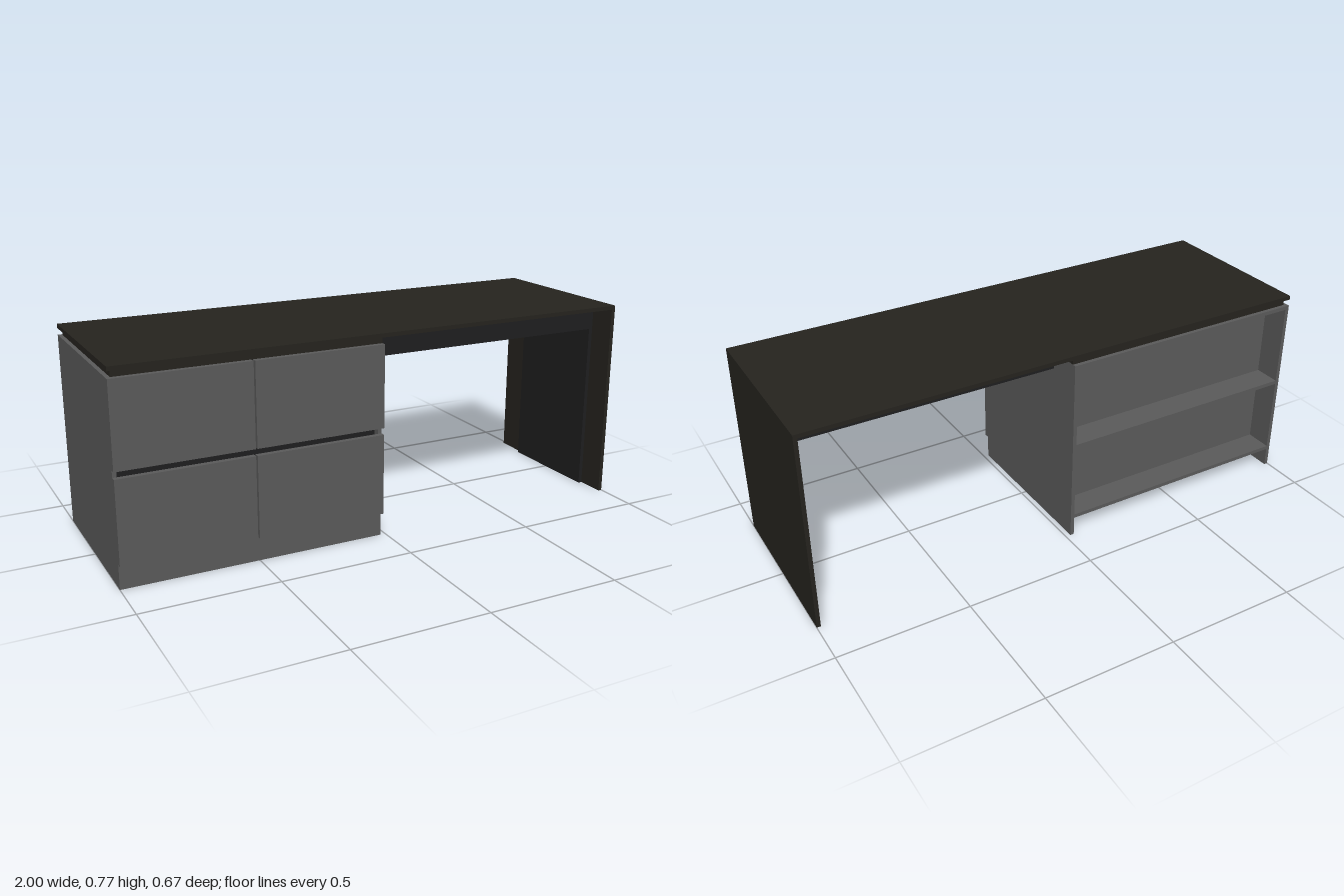
import * as THREE from 'three';

const grey = new THREE.MeshStandardMaterial({ color: 0x5a5a5a });
const brown = new THREE.MeshStandardMaterial({ color: 0x25231e });
const black = new THREE.MeshStandardMaterial({ color: 0x1e1e1f });

// Box given by its lower and upper limits on each axis
function panel(parent, name, material, [x0, x1], [y0, y1], [z0, z1]) {
  const mesh = new THREE.Mesh(new THREE.BoxGeometry(x1 - x0, y1 - y0, z1 - z0), material);
  mesh.position.set((x0 + x1) / 2, (y0 + y1) / 2, (z0 + z1) / 2);
  mesh.name = name;
  parent.add(mesh);
}

export function createModel() {
  const desk = new THREE.Group();
  desk.name = 'desk';
  const T = 0.015; // board thickness
  const D = 0.333; // half depth
  const H = 0.767; // full height

  // Desktop and the panel leg with its narrower inner frame board
  panel(desk, 'desktop', brown, [-1, 1], [H - T, H], [-D, D]);
  panel(desk, 'legPanel', brown, [1 - T, 1], [0, H - T], [-D, D]);
  panel(desk, 'legInnerBoard', black, [0.97, 1 - T], [0, H - T], [-0.2, 0.225]);

  // Two rails under the open half of the desktop
  for (const [name, z] of [['frontRail', 0.21], ['backRail', -0.195]]) {
    panel(desk, name, black, [-0.02, 0.97], [0.655, H - T], [z, z + T]);
  }

  // Recessed spacer between cabinet and desktop
  panel(desk, 'spacer', brown, [-0.985, -0.02], [0.727, H - T], [-D + T, 0.313]);

  // Cabinet carcass, open underneath
  const cabinet = new THREE.Group();
  cabinet.name = 'cabinet';
  desk.add(cabinet);
  const L = -1, R = -0.02, top = 0.727, face = 0.313, back = -0.228;
  const inner = [L + T, R - T];
  panel(cabinet, 'rightSide', grey, [L, L + T], [0, top], [-D, face]);
  panel(cabinet, 'leftSide', grey, [R - T, R], [0, top], [-D, face]);
  panel(cabinet, 'cabinetTop', grey, inner, [top - T, top], [-D, 0.285]);
  panel(cabinet, 'plinth', grey, inner, [0, 0.088], [face - T, face]);

  // Shallow bookcase in the back
  panel(cabinet, 'bookcaseBack', grey, inner, [0, top - T], [back, back + T]);
  for (const y of [0.075, 0.385]) {
    panel(cabinet, 'shelf', grey, inner, [y, y + T], [-D, back]);
  }

  // Drawer fronts in two rows, each with a dark finger channel above
  for (const [y0, y1] of [[0.091, 0.395], [0.42, top]]) {
    panel(cabinet, 'drawerFront', grey, [L, -0.513], [y0, y1], [face, D]);
    panel(cabinet, 'drawerFront', grey, [-0.507, R], [y0, y1], [face, D]);
    panel(cabinet, 'channelBack', black, inner, [y1 - 0.02, y1 + 0.025], [0.285, 0.29]);
    panel(cabinet, 'channelLedge', black, inner, [y1 - 0.02, y1 - 0.015], [0.29, face]);
  }
  return desk;
}
